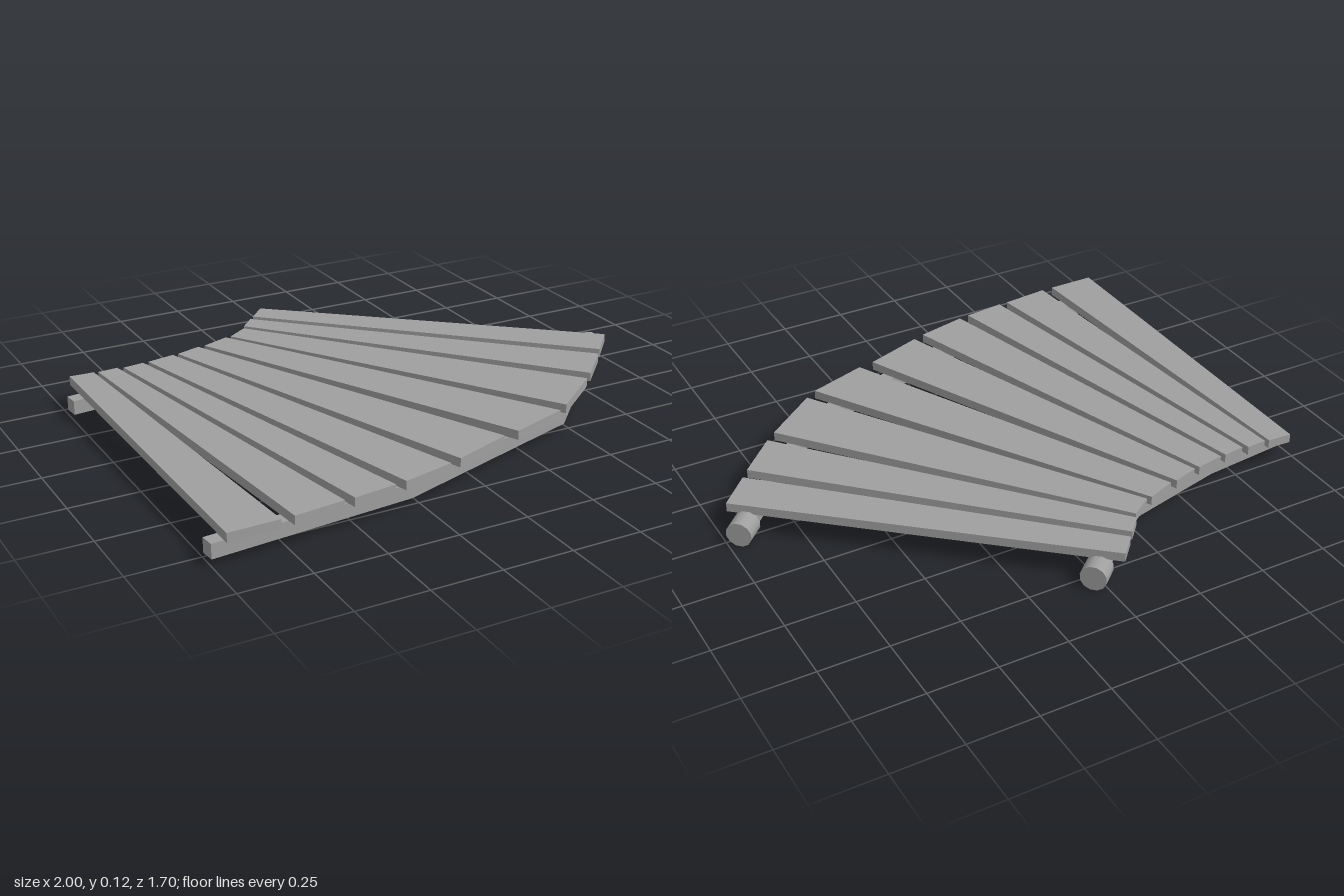
import * as THREE from 'three';

const material = new THREE.MeshStandardMaterial({ color: 0x9f9f9f });

// Extrudes an outline of [x, z] points upwards from y0 to y1.
function slab(name, outline, y0, y1) {
  const shape = new THREE.Shape(outline.map(([x, z]) => new THREE.Vector2(x, -z)));
  const geometry = new THREE.ExtrudeGeometry(shape, { depth: y1 - y0, bevelEnabled: false });
  geometry.rotateX(-Math.PI / 2).translate(0, y0, 0);
  const mesh = new THREE.Mesh(geometry, material);
  mesh.name = name;
  return mesh;
}

// Mitred outline of constant width around a polyline.
function railOutline(path, width) {
  const left = [], right = [];
  const normal = (a, b) => new THREE.Vector2(a[1] - b[1], b[0] - a[0]).normalize();
  const last = path.length - 1;
  path.forEach((p, i) => {
    const n0 = normal(path[Math.max(i - 1, 0)], path[Math.max(i, 1)]);
    const n1 = normal(path[Math.min(i, last - 1)], path[Math.min(i + 1, last)]);
    const m = n0.clone().add(n1).normalize();
    m.multiplyScalar(width / 2 / m.dot(n0));
    left.push([p[0] + m.x, p[1] + m.y]);
    right.unshift([p[0] - m.x, p[1] - m.y]);
  });
  return left.concat(right);
}

export function createModel() {
  const group = new THREE.Group();
  group.name = 'curvedWalkway';

  // Tapered planks: inner left, inner right, outer right, outer left
  const planks = [
    [[-0.965, -0.52], [-0.875, -0.515], [-0.78, 0.845], [-0.96, 0.848]],
    [[-0.86, -0.51], [-0.785, -0.515], [-0.555, 0.825], [-0.735, 0.845]],
    [[-0.765, -0.505], [-0.685, -0.515], [-0.365, 0.805], [-0.52, 0.825]],
    [[-0.665, -0.515], [-0.56, -0.535], [-0.135, 0.755], [-0.325, 0.80]],
    [[-0.54, -0.535], [-0.445, -0.565], [0.13, 0.66], [-0.09, 0.74]],
    [[-0.42, -0.565], [-0.315, -0.605], [0.41, 0.575], [0.19, 0.65]],
    [[-0.295, -0.605], [-0.215, -0.66], [0.655, 0.385], [0.455, 0.545]],
    [[-0.205, -0.68], [-0.15, -0.74], [0.83, 0.21], [0.695, 0.35]],
    [[-0.13, -0.76], [-0.065, -0.83], [0.968, 0.058], [0.86, 0.175]],
  ];
  planks.forEach((p, i) => group.add(slab(`plank${i + 1}`, p, 0.084, 0.117)));

  // Bent support rails, each ending in a round peg
  const rails = {
    outer: [[-1, 0.79], [-0.28, 0.725], [0.465, 0.48], [0.94, -0.012]],
    inner: [[-1, -0.417], [-0.65, -0.455], [-0.25, -0.555], [0.018, -0.79]],
  };
  for (const [side, path] of Object.entries(rails)) {
    group.add(slab(`${side}Rail`, railOutline(path, 0.052), 0.023, 0.075));
    const [a, b] = path.slice(-2);
    const peg = new THREE.Mesh(new THREE.CylinderGeometry(0.047, 0.047, 0.08, 12), material);
    peg.name = `${side}Peg`;
    peg.position.set(b[0], 0.047, b[1]);
    peg.quaternion.setFromUnitVectors(
      new THREE.Vector3(0, 1, 0),
      new THREE.Vector3(b[0] - a[0], 0, b[1] - a[1]).normalize());
    group.add(peg);
  }
  return group;
}
